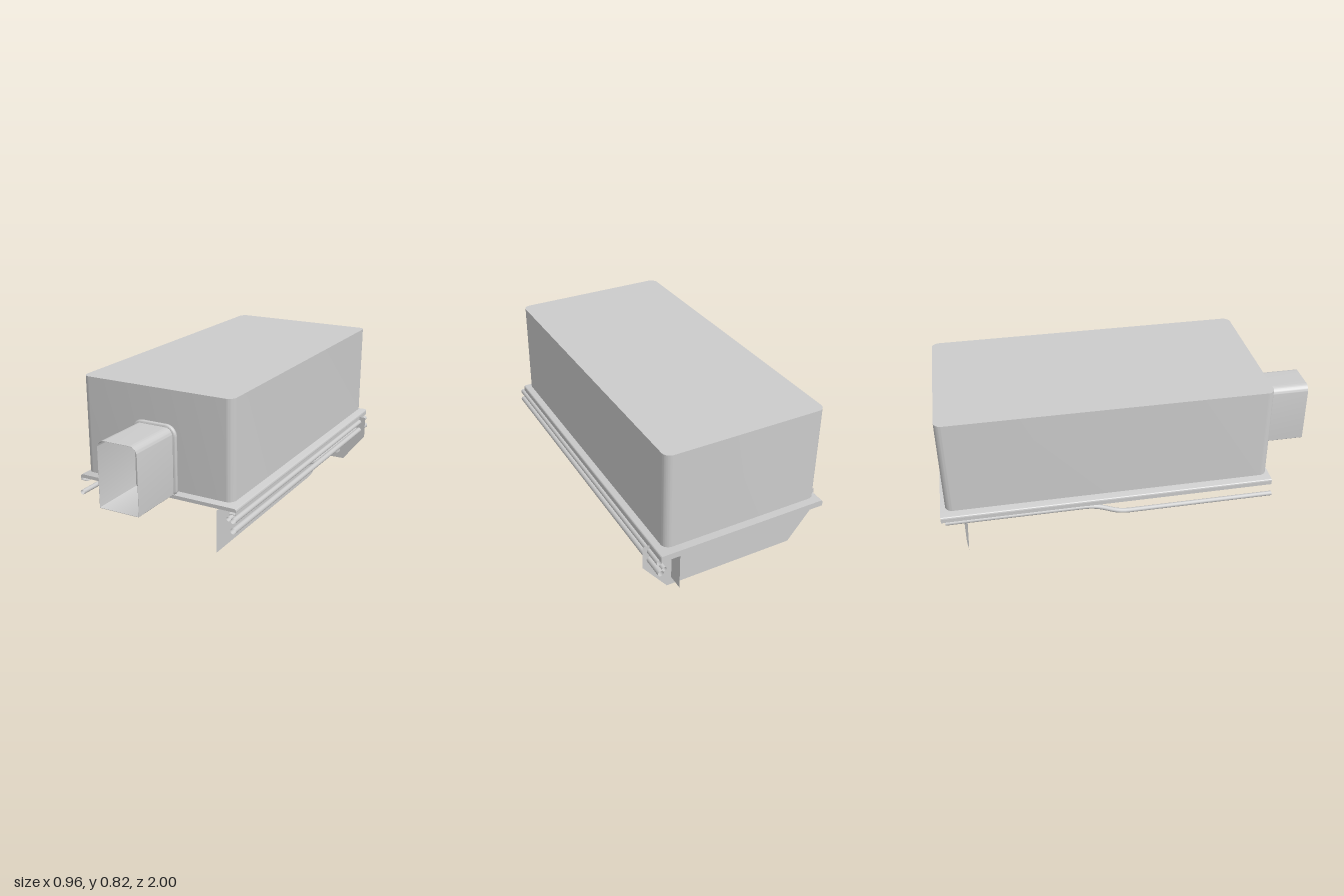
import * as THREE from 'three';
import { toCreasedNormals } from 'three/addons/utils/BufferGeometryUtils.js';

const solid = new THREE.MeshStandardMaterial({ color: 0xcccccc });
const sheet = new THREE.MeshStandardMaterial({ color: 0xcccccc, side: THREE.DoubleSide });

// Rectangle outline with separate radii for the lower and upper corners
function roundedRect(x0, y0, x1, y1, rLow, rHigh) {
  const s = new THREE.Shape();
  s.moveTo(x0 + rLow, y0);
  s.lineTo(x1 - rLow, y0);
  s.absarc(x1 - rLow, y0 + rLow, rLow, -Math.PI / 2, 0);
  s.lineTo(x1, y1 - rHigh);
  s.absarc(x1 - rHigh, y1 - rHigh, rHigh, 0, Math.PI / 2);
  s.lineTo(x0 + rHigh, y1);
  s.absarc(x0 + rHigh, y1 - rHigh, rHigh, Math.PI / 2, Math.PI);
  s.lineTo(x0, y0 + rLow);
  s.absarc(x0 + rLow, y0 + rLow, rLow, Math.PI, Math.PI * 1.5);
  return s;
}

function extrude(shape, depth, bevel = 0) {
  const g = new THREE.ExtrudeGeometry(shape, {
    depth: depth - 2 * bevel, curveSegments: 8, bevelEnabled: bevel > 0,
    bevelSize: bevel, bevelOffset: -bevel, bevelThickness: bevel, bevelSegments: 3,
  });
  g.translate(0, 0, bevel);
  return toCreasedNormals(g, 0.6);
}

export function createModel() {
  const model = new THREE.Group();
  const add = (name, geometry, material = solid) => {
    const mesh = new THREE.Mesh(geometry, material);
    mesh.name = name;
    model.add(mesh);
    return mesh;
  };

  // Main housing: rounded upright corners, flat top
  const housing = extrude(roundedRect(-0.416, -0.69, 0.416, 0.974, 0.04, 0.04), 0.5);
  housing.rotateX(-Math.PI / 2).translate(0, 0.32, 0);
  add('housing', housing);

  // Base flange: a thin tray whose side and back edges fold down and inward
  const tray = extrude(roundedRect(-0.445, 0.287, 0.445, 0.305, 0.001, 0.01), 1.71);
  add('baseFlange', tray).position.z = -1;
  for (const side of [-1, 1]) {
    add('flangeSideWall', new THREE.BoxGeometry(0.003, 0.022, 1.71)).position.set(side * 0.4435, 0.284, -0.145);
    add('flangeSideReturn', new THREE.BoxGeometry(0.04, 0.003, 1.71)).position.set(side * 0.425, 0.2745, -0.145);
  }
  add('flangeBackWall', new THREE.BoxGeometry(0.89, 0.022, 0.003)).position.set(0, 0.284, -0.9985);
  add('flangeBackReturn', new THREE.BoxGeometry(0.89, 0.003, 0.04)).position.set(0, 0.2745, -0.98);

  // Front collar and open thin-walled duct
  add('ductCollar', extrude(roundedRect(-0.122, 0.305, 0.122, 0.652, 0.02, 0.055), 0.025, 0.01))
    .position.z = 0.685;
  const ductOutline = roundedRect(-0.108, 0.307, 0.108, 0.64, 0.003, 0.04);
  ductOutline.holes.push(roundedRect(-0.1065, 0.3085, 0.1065, 0.6385, 0.002, 0.0385));
  add('duct', extrude(ductOutline, 0.3)).position.z = 0.7;

  // Thin rear cross plate with chamfered lower corners
  const plate = new THREE.Shape([
    [-0.35, 0], [0.35, 0], [0.481, 0.165], [0.481, 0.287], [-0.481, 0.287], [-0.481, 0.165],
  ].map(([x, y]) => new THREE.Vector2(x, y)));
  add('rearPlate', new THREE.ShapeGeometry(plate), sheet).position.z = -0.885;

  // Side skirt on the left side with an arched cutout; drawn in (z, y)
  const skirt = new THREE.Shape();
  skirt.moveTo(-0.965, 0.262);
  skirt.lineTo(-0.965, 0.043);
  skirt.lineTo(-0.88, 0.043);
  skirt.bezierCurveTo(-0.78, 0.043, -0.76, 0.138, -0.62, 0.138);
  skirt.bezierCurveTo(-0.5, 0.138, -0.51, 0.043, -0.4, 0.043);
  skirt.lineTo(0.685, 0.043);
  skirt.lineTo(0.685, 0.262);
  const skirtGeometry = new THREE.ShapeGeometry(skirt, 16);
  skirtGeometry.rotateY(-Math.PI / 2);
  add('sideSkirt', skirtGeometry, sheet).position.x = 0.327;

  // Open-ended pipes running along both sides; some step in height midway
  const pipe = (name, x, r, zFront, zBack, yFront, yBack) => {
    const path = new THREE.CurvePath();
    const p = (y, z) => new THREE.Vector3(x, y, z);
    path.add(new THREE.LineCurve3(p(yFront, zFront), p(yFront, -0.05)));
    path.add(new THREE.CubicBezierCurve3(p(yFront, -0.05), p(yFront, -0.15), p(yBack, -0.17), p(yBack, -0.29)));
    path.add(new THREE.LineCurve3(p(yBack, -0.29), p(yBack, zBack)));
    add(name, new THREE.TubeGeometry(path, 80, r, 12), sheet);
  };
  pipe('upperSidePipe', 0.444, 0.014, 0.735, -0.98, 0.255, 0.255);
  pipe('lowerSidePipe', 0.444, 0.015, 0.735, -0.995, 0.204, 0.204);
  pipe('bentSidePipe', 0.418, 0.012, 0.73, -0.98, 0.258, 0.208);
  pipe('oppositeBentPipe', -0.437, 0.0125, 0.715, -0.98, 0.208, 0.265);

  return model;
}
